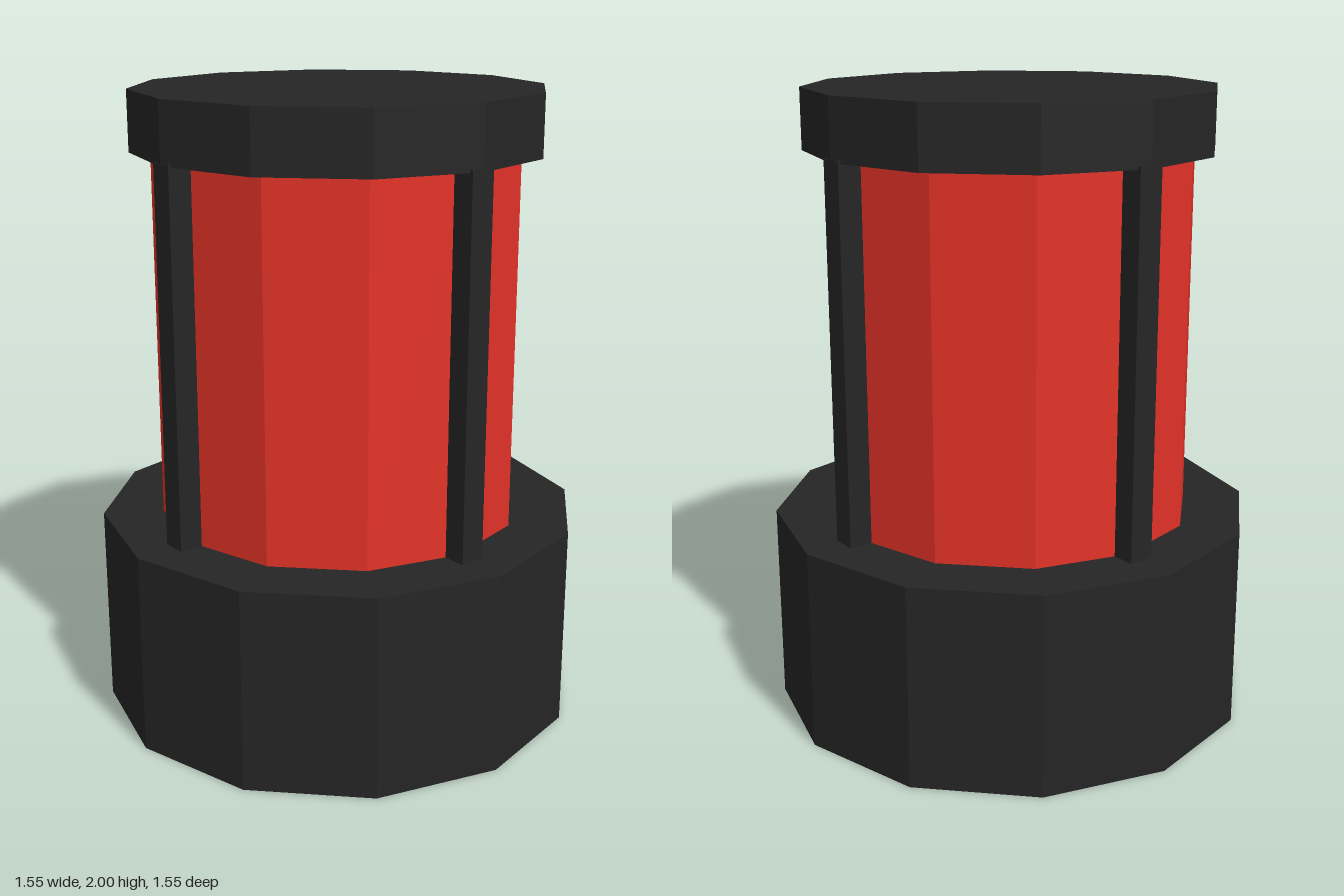
import * as THREE from 'three';

export function createModel() {
  const group = new THREE.Group();
  const black = new THREE.MeshStandardMaterial({ color: 0x252525, flatShading: true });
  black.name = 'matte black';
  const red = new THREE.MeshStandardMaterial({ color: 0xe33227, flatShading: true });
  red.name = 'lamp red';

  const add = (name, geometry, material, y) => {
    const mesh = new THREE.Mesh(geometry, material);
    mesh.name = name;
    mesh.position.y = y;
    group.add(mesh);
    return mesh;
  };

  // Twelve-sided drum between two heights
  const drum = (name, radius, bottom, top, material) =>
    add(name, new THREE.CylinderGeometry(radius, radius, top - bottom, 12), material, (bottom + top) / 2);

  drum('base', 0.773, 0, 0.645, black);
  drum('lens', 0.58, 0.645, 1.81, red);
  drum('cap', 0.645, 1.81, 2, black);

  // Four upright guard bars, one on each side
  const bar = new THREE.BoxGeometry(0.08, 1.18, 0.075);
  for (let i = 0; i < 4; i++) {
    const angle = (i * Math.PI) / 2;
    const mesh = add('guardBar', bar, black, 1.23);
    mesh.position.x = Math.sin(angle) * 0.6065;
    mesh.position.z = Math.cos(angle) * 0.6065;
    mesh.rotation.y = angle;
  }
  return group;
}
